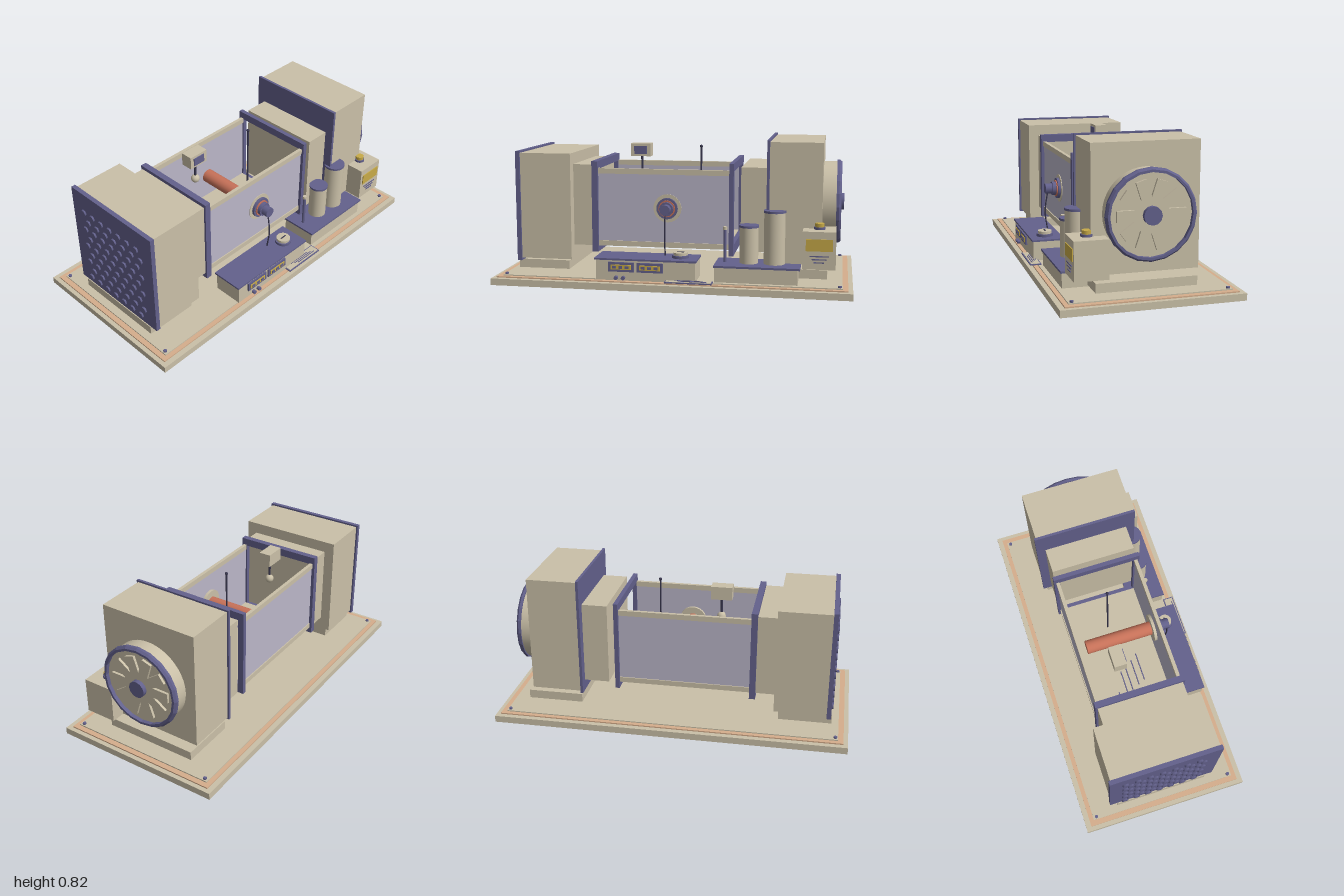
import * as THREE from 'three';

const mat = (name, color, double) => {
  const m = new THREE.MeshStandardMaterial({ color });
  m.name = name;
  if (double) m.side = THREE.DoubleSide;
  return m;
};

export function createModel() {
  const root = new THREE.Group();
  root.name = 'windTunnel';
  const cream = mat('cream', 0xcac0a8);
  const blue = mat('slateBlue', 0x63618c);
  const glass = mat('paleGlass', 0xbbb6c8, true);
  const red = mat('terracotta', 0xc87259);
  const yellow = mat('mustard', 0xc8ab48);
  const tan = mat('tanInlay', 0xd6ae8c);
  const dark = mat('darkCable', 0x3a3850);

  const add = (name, geo, m, x = 0, y = 0, z = 0) => {
    const mesh = new THREE.Mesh(geo, m);
    mesh.name = name;
    mesh.position.set(x, y, z);
    root.add(mesh);
    return mesh;
  };
  // box given by its limits on each axis
  const box = (name, m, x0, x1, y0, y1, z0, z1) =>
    add(name, new THREE.BoxGeometry(x1 - x0, y1 - y0, z1 - z0), m, (x0 + x1) / 2, (y0 + y1) / 2, (z0 + z1) / 2);
  // upright cylinder between two heights
  const post = (name, m, x, z, r, y0, y1, n = 20) =>
    add(name, new THREE.CylinderGeometry(r, r, y1 - y0, n), m, x, (y0 + y1) / 2, z);
  // cylinder lying along z
  const rodZ = (name, m, x, y, r, z0, z1, n = 24) => {
    const g = new THREE.CylinderGeometry(r, r, z1 - z0, n).rotateX(Math.PI / 2);
    return add(name, g, m, x, y, (z0 + z1) / 2);
  };
  // cylinder lying along x
  const rodX = (name, m, y, z, r, x0, x1, n = 20) => {
    const g = new THREE.CylinderGeometry(r, r, x1 - x0, n).rotateZ(-Math.PI / 2);
    return add(name, g, m, (x0 + x1) / 2, y, z);
  };

  // layered base with corner bolts
  box('base', cream, -1, 1, 0, 0.038, -0.485, 0.485);
  box('baseInlay', tan, -0.975, 0.975, 0.038, 0.045, -0.455, 0.455);
  box('baseTop', cream, -0.945, 0.945, 0.04, 0.051, -0.43, 0.43);
  for (const x of [-0.93, 0.93]) for (const z of [-0.41, 0.41])
    post('baseBolt', blue, x, z, 0.01, 0.05, 0.06, 8);

  // intake end with its perforated plate
  box('intakeFoot', cream, -0.905, -0.605, 0.06, 0.11, -0.27, 0.27);
  box('intakeBox', cream, -0.876, -0.58, 0.125, 0.73, -0.305, 0.305);
  box('intakePlate', blue, -0.9, -0.875, 0.11, 0.74, -0.315, 0.315);
  for (let r = 0; r < 9; r++) for (let c = 0; c < 7; c++)
    rodX('intakeCell', blue, 0.15 + r * 0.058, -0.225 + c * 0.07 + (r % 2) * 0.03, 0.02, -0.91, -0.9, 6);
  box('intakeDuct', cream, -0.58, -0.462, 0.2, 0.665, -0.245, 0.245);

  // open flange frames either side of the test section
  const frame = (name, x0, x1) => {
    const s = new THREE.Shape();
    const rect = (p, a, y0, y1) => p.moveTo(-a, y0).lineTo(a, y0).lineTo(a, y1).lineTo(-a, y1).closePath();
    rect(s, 0.257, 0.165, 0.685);
    const h = new THREE.Path();
    rect(h, 0.222, 0.225, 0.64);
    s.holes.push(h);
    const g = new THREE.ExtrudeGeometry(s, { depth: x1 - x0, bevelEnabled: false }).rotateY(Math.PI / 2);
    add(name, g, blue, x0, 0, 0);
  };
  frame('leftFlange', -0.47, -0.435);
  frame('rightFlange', 0.315, 0.34);

  // test section: floor, rails and side panes, open above
  box('testFloor', cream, -0.435, 0.315, 0.2, 0.23, -0.225, 0.225);
  for (const s of [-1, 1]) {
    const [a, b] = s < 0 ? [-0.245, -0.225] : [0.225, 0.245];
    box('lowerRail', cream, -0.435, 0.315, 0.2, 0.23, a, b);
    box('upperRail', cream, -0.435, 0.315, 0.615, 0.645, a, b);
    box('pane', glass, -0.435, 0.315, 0.23, 0.615, s * 0.235 - 0.004, s * 0.235 + 0.004);
  }
  [[-0.39, -0.3, -0.065], [-0.36, -0.18, -0.015], [-0.33, -0.17, 0.02], [-0.29, -0.13, 0.065], [-0.27, -0.1, 0.105]]
    .forEach(([x0, x1, z]) => box('flowLine', blue, x0, x1, 0.23, 0.236, z - 0.003, z + 0.003));

  // test rod and its porthole
  const px = -0.035, py = 0.425;
  rodZ('testRod', red, px, py, 0.04, -0.18, 0.22);
  rodZ('portRing', cream, px, py, 0.08, 0.215, 0.243);
  rodZ('portCollar', blue, px, py, 0.06, 0.243, 0.258);
  rodZ('portSeal', red, px, py, 0.047, 0.258, 0.264);
  rodZ('portHub', blue, px, py, 0.04, 0.264, 0.285, 12);
  rodZ('portKnob', blue, px, py, 0.03, 0.285, 0.325, 10);
  const cable = new THREE.CatmullRomCurve3([
    new THREE.Vector3(px, 0.4, 0.31), new THREE.Vector3(px, 0.29, 0.325), new THREE.Vector3(px, 0.17, 0.31)]);
  add('cable', new THREE.TubeGeometry(cable, 12, 0.004, 6), dark);

  // small monitor and thin probe
  post('monitorPost', dark, -0.245, -0.06, 0.007, 0.58, 0.69, 8);
  add('monitorBall', new THREE.SphereGeometry(0.025, 14, 10), cream, -0.245, 0.58, -0.06);
  box('monitor', cream, -0.307, -0.187, 0.69, 0.765, -0.095, -0.025);
  box('monitorScreen', blue, -0.285, -0.21, 0.703, 0.75, -0.025, -0.02);
  post('probe', dark, 0.12, 0, 0.005, 0.23, 0.755, 8);
  add('probeTip', new THREE.SphereGeometry(0.009, 10, 8), dark, 0.12, 0.757, 0);

  // fan end
  box('fanDuct', cream, 0.38, 0.528, 0.195, 0.665, -0.245, 0.245);
  box('fanPlate', blue, 0.525, 0.54, 0.132, 0.82, -0.297, 0.297);
  box('fanBox', cream, 0.54, 0.827, 0.142, 0.81, -0.287, 0.287);
  box('fanFoot', cream, 0.54, 0.86, 0.06, 0.11, -0.27, 0.27);
  const cy = 0.455;
  rodX('fanDrum', cream, cy, 0, 0.228, 0.827, 0.905, 40);
  const ringProfile = [[0.215, 0.9], [0.238, 0.9], [0.238, 0.915], [0.228, 0.927], [0.215, 0.927], [0.215, 0.9]]
    .map(([r, h]) => new THREE.Vector2(r, h));
  const ring = new THREE.LatheGeometry(ringProfile, 20).toNonIndexed();
  ring.computeVertexNormals();
  ring.rotateZ(-Math.PI / 2);
  add('fanRing', ring, blue, 0, cy, 0);
  for (let i = 0; i < 10; i++) {
    const g = new THREE.BoxGeometry(0.014, 0.057, 0.15).translate(0, 0, 0.105);
    add('fanBlade', g, cream, 0.912, cy, 0).rotation.x = i * Math.PI / 5;
  }
  rodX('fanHub', blue, cy, 0, 0.048, 0.905, 0.943, 12);

  // control desk
  box('deskBody', cream, -0.4, 0.155, 0.05, 0.16, 0.265, 0.437);
  box('deskTop', blue, -0.41, 0.16, 0.16, 0.17, 0.257, 0.443);
  for (const x of [-0.33, -0.168]) {
    box('meterPanel', blue, x, x + 0.145, 0.097, 0.15, 0.437, 0.446);
    box('meterStrip', yellow, x + 0.015, x + 0.13, 0.11, 0.137, 0.446, 0.45);
    for (let i = 0; i < 3; i++)
      box('meterWindow', blue, x + 0.025 + i * 0.036, x + 0.046 + i * 0.036, 0.116, 0.131, 0.45, 0.453);
  }
  for (const x of [-0.285, -0.245]) rodZ('deskKnob', blue, x, 0.063, 0.011, 0.437, 0.456, 12);
  post('gaugeFoot', blue, 0.06, 0.35, 0.048, 0.17, 0.185);
  post('gaugeBody', cream, 0.06, 0.35, 0.04, 0.185, 0.2);
  box('gaugeNeedle', dark, 0.04, 0.08, 0.2, 0.203, 0.347, 0.353);

  // ruled tray on the base
  box('trayBorder', blue, -0.01, 0.25, 0.051, 0.057, 0.412, 0.475);
  box('traySheet', cream, -0.004, 0.244, 0.057, 0.059, 0.418, 0.469);
  for (let i = 0; i < 4; i++)
    box('trayLine', blue, 0.02 + i * 0.02, 0.16 + i * 0.02, 0.059, 0.062, 0.424 + i * 0.011, 0.428 + i * 0.011);

  // tank plinth with two cylinders and a thin valve rod
  box('plinth', cream, 0.255, 0.705, 0.05, 0.133, 0.2, 0.405);
  box('plinthTop', blue, 0.25, 0.718, 0.133, 0.144, 0.19, 0.413);
  for (const [x, r, top] of [[0.432, 0.052, 0.355], [0.572, 0.058, 0.44]]) {
    post('tank', cream, x, 0.295, r, 0.144, top - 0.012, 28);
    post('tankCap', blue, x, 0.295, r + 0.003, top - 0.012, top, 28);
  }
  post('valveRod', blue, 0.3, 0.3, 0.009, 0.144, 0.325, 10);
  post('valveTip', cream, 0.3, 0.3, 0.012, 0.325, 0.342, 10);

  // canister with label and cap
  box('canister', cream, 0.727, 0.905, 0.14, 0.345, 0.212, 0.392);
  box('canisterLabel', yellow, 0.745, 0.888, 0.24, 0.305, 0.392, 0.397);
  for (let i = 0; i < 3; i++)
    box('canisterLine', blue, 0.765 + i * 0.012, 0.868 - i * 0.012, 0.209 - i * 0.017, 0.215 - i * 0.017, 0.392, 0.396);
  post('canisterNeck', blue, 0.815, 0.305, 0.03, 0.345, 0.358, 16);
  post('canisterCap', yellow, 0.815, 0.305, 0.025, 0.358, 0.378, 8);

  return root;
}
